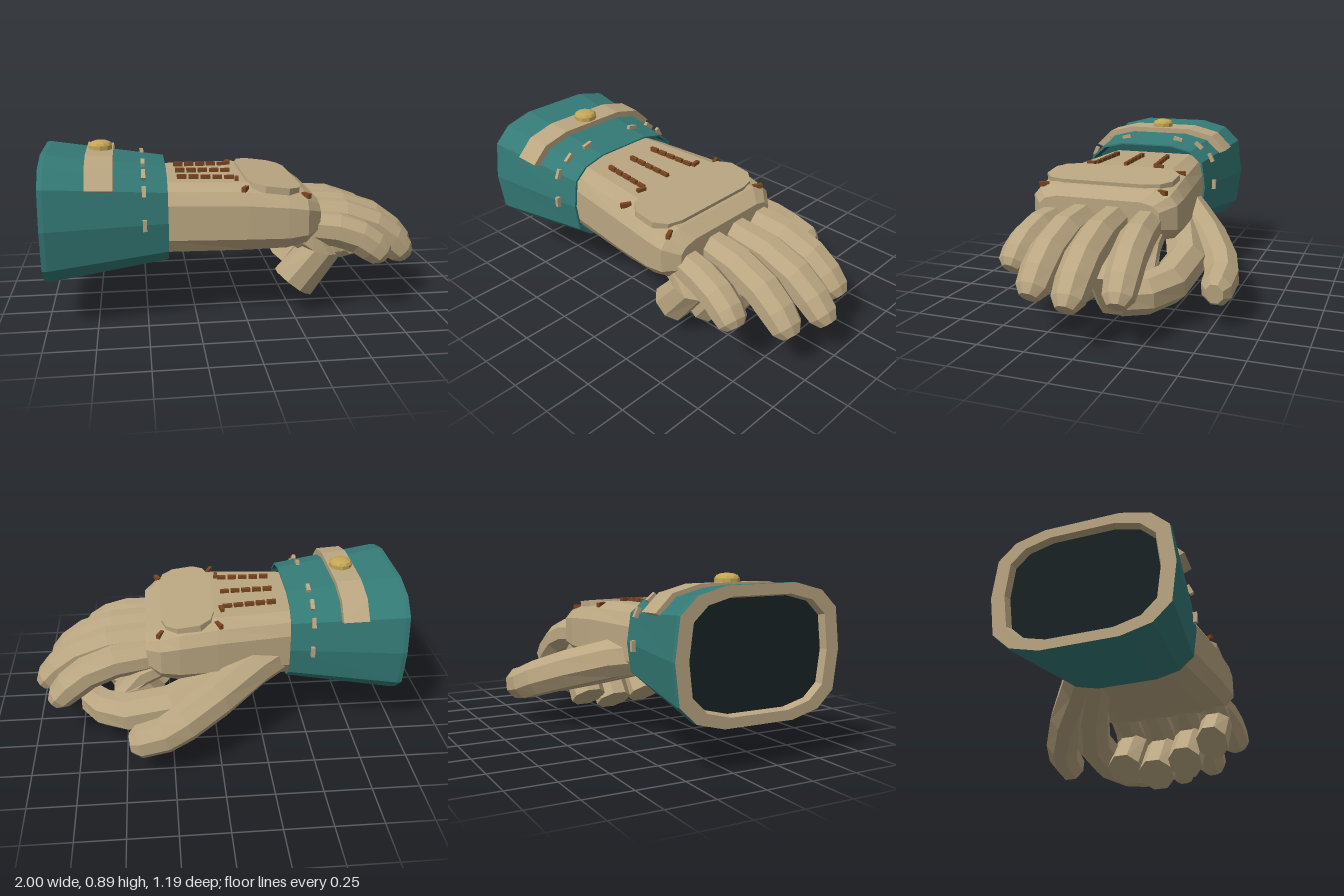
import * as THREE from 'three';

const paint = (name, color) => {
  const m = new THREE.MeshStandardMaterial({ color, flatShading: true });
  m.name = name;
  return m;
};

// Skin a list of equal-length rings of [x, y, z], with optional flat ends.
function loft(rings, startCap = true, endCap = true) {
  const pos = [];
  const n = rings[0].length;
  const tri = (a, b, c) => pos.push(...a, ...b, ...c);
  const centre = (r) => [0, 1, 2].map((k) => r.reduce((s, p) => s + p[k], 0) / n);
  const last = rings[rings.length - 1];
  for (let j = 0; j < n; j++) {
    const k = (j + 1) % n;
    for (let i = 0; i + 1 < rings.length; i++) {
      const p = rings[i], q = rings[i + 1];
      tri(p[j], p[k], q[k]);
      tri(p[j], q[k], q[j]);
    }
    if (startCap) tri(centre(rings[0]), rings[0][k], rings[0][j]);
    if (endCap) tri(centre(last), last[j], last[k]);
  }
  const g = new THREE.BufferGeometry();
  g.setAttribute('position', new THREE.Float32BufferAttribute(pos, 3));
  g.computeVertexNormals();
  return g;
}

// Eight-sided limb along stations of [x, y, z, halfWidth, halfHeight].
function limb(stations) {
  const pts = stations.map((s) => new THREE.Vector3(s[0], s[1], s[2]));
  return loft(stations.map((s, i) => {
    const t = pts[Math.min(i + 1, pts.length - 1)].clone().sub(pts[Math.max(i - 1, 0)]).normalize();
    const side = new THREE.Vector3(0, 0, 1).addScaledVector(t, -t.z).normalize();
    const up = side.clone().cross(t);
    return Array.from({ length: 8 }, (_, k) => {
      const a = ((k + 0.5) / 8) * Math.PI * 2;
      return pts[i].clone()
        .addScaledVector(up, Math.cos(a) * s[4] * 1.08)
        .addScaledVector(side, Math.sin(a) * s[3] * 1.08).toArray();
    });
  }));
}

// Mirror the +z half of a cross-section, listed from top to bottom.
const closed = (half) => [...half, ...half.slice().reverse().map(([z, y]) => [-z, y])];
const CUFF = closed([[0.42, 1], [0.75, 0.88], [0.945, 0.62], [1, 0], [0.945, -0.62], [0.75, -0.88], [0.42, -1]]);
const HAND = closed([[0.7, 1], [0.9, 0.82], [1, 0.47], [1, -0.5], [0.88, -0.88], [0.6, -1]]);

const MID_Z = 0.14;
const MID_Y = 0.53;
function cuffPoint(x, [z, y], s = 1) {
  const t = (x + 1) / 0.61;
  return [x, MID_Y + y * s * (0.323 - 0.083 * t), MID_Z + z * s * (0.452 - 0.082 * t)];
}
const cuffRing = (x, s) => CUFF.map((p) => cuffPoint(x, p, s));

export function createModel() {
  const root = new THREE.Group();
  root.name = 'gauntlet';
  const teal = paint('teal cloth', 0x347a76);
  const shade = paint('deep teal lining', 0x24595b);
  const tan = paint('tan leather', 0xbaa681);
  const brown = paint('brown thread', 0x7a4620);
  const gold = paint('gold metal', 0xc4a656);
  const dark = paint('dark lining', 0x182223);
  const add = (name, geometry, material, parent = root) => {
    const m = new THREE.Mesh(geometry, material);
    m.name = name;
    parent.add(m);
    return m;
  };
  const group = (name) => {
    const g = new THREE.Group();
    g.name = name;
    root.add(g);
    return g;
  };

  // Flared cuff, its rim and linings
  add('cuff', loft([cuffRing(-1, 0.995), cuffRing(-0.975, 1.008), cuffRing(-0.39, 1), cuffRing(-0.39, 0.97)], false, false), teal);
  add('frontLining', loft([cuffRing(-0.39, 0.97), cuffRing(-0.5, 0.92)], false, true), shade);
  add('cuffRim', loft([cuffRing(-0.96, 0.82), cuffRing(-1, 0.84), cuffRing(-1, 0.995)], false, false), tan);
  add('cuffLining', loft([cuffRing(-0.965, 0.84)], true, false), dark);

  // Strap over the top of the cuff
  const arc = [[0.945, 0.6], [0.75, 0.88], [0.42, 1], [-0.42, 1], [-0.75, 0.88], [-0.945, 0.6]];
  add('strap', loft(arc.map((p) => [
    cuffPoint(-0.785, p, 1.07), cuffPoint(-0.65, p, 1.11),
    cuffPoint(-0.65, p, 0.97), cuffPoint(-0.785, p, 0.97),
  ])), tan);

  // Button: low base and shallow dome
  const button = group('button');
  button.position.set(-0.715, 0.85, MID_Z);
  add('buttonBase', new THREE.CylinderGeometry(0.062, 0.062, 0.022, 10), gold, button);
  const dome = add('buttonDome', new THREE.SphereGeometry(0.062, 10, 3, 0, Math.PI * 2, 0, Math.PI / 2), gold, button);
  dome.scale.y = 0.4;
  dome.position.y = 0.011;

  // Stitches round the cuff
  const cuffStitches = group('cuffStitches');
  [[0.42, 1, 0.25], [0.75, 0.88, 0.7], [0.945, 0.62, 1.15], [1, 0, 1.57]].forEach(([z, y, tilt]) => {
    for (const side of [1, -1]) {
      const m = add('cuffStitch', new THREE.BoxGeometry(0.02, 0.022, 0.055), tan, cuffStitches);
      m.position.set(...cuffPoint(-0.505, [z * side, y], 1.025));
      m.rotation.x = tilt * side;
    }
  });

  // Hand body: x, bottom, top, min z, max z
  add('hand', loft([
    [-0.5, 0.34, 0.705, -0.2, 0.46], [-0.39, 0.34, 0.705, -0.215, 0.475],
    [0, 0.35, 0.7, -0.265, 0.525], [0.2, 0.36, 0.678, -0.28, 0.54],
    [0.3, 0.385, 0.65, -0.275, 0.535], [0.375, 0.42, 0.6, -0.2, 0.47],
  ].map(([x, y0, y1, z0, z1]) => HAND.map(([z, y]) =>
    [x, (y0 + y1) / 2 + y * (y1 - y0) / 2, (z0 + z1) / 2 + z * (z1 - z0) / 2]))), tan);

  // Knuckle pad
  const w = 0.14, l = 0.36;
  const outline = [[w - 0.08, l], [w - 0.02, l - 0.05], [w, l - 0.13]];
  const quarter = [...outline, ...outline.slice().reverse().map(([x, y]) => [x, -y])];
  const padShape = new THREE.Shape(
    [...quarter, ...quarter.slice().reverse().map(([x, y]) => [-x, y])].map((p) => new THREE.Vector2(...p)));
  const padGeometry = new THREE.ExtrudeGeometry(padShape, { depth: 0.035, bevelEnabled: false });
  const pad = add('knucklePad', padGeometry.rotateX(-Math.PI / 2), tan);
  pad.position.set(0.145, 0.657, MID_Z);
  pad.rotation.z = -0.13;

  // Four outer fingers: base z, tip z, tip x, tip y, start y, radius
  const fingers = group('fingers');
  [
    [-0.125, -0.175, 0.913, 0.265, 0.485, 0.084],
    [0.05, 0.045, 1.0, 0.255, 0.49, 0.088],
    [0.225, 0.262, 0.933, 0.265, 0.485, 0.09],
    [0.395, 0.46, 0.74, 0.315, 0.46, 0.084],
  ].forEach(([z0, z1, tipX, tipY, y0, r]) => {
    const L = tipX - 0.3;
    const at = (u, v, s, h = s) => [0.3 + L * u, y0 + (tipY - y0) * v, z0 + (z1 - z0) * u, r * s, r * h];
    add('finger', limb([
      at(0, 0, 0.9, 0.95), at(0.4, 0.12, 1), at(0.65, 0.38, 1), at(0.81, 0.72, 0.97),
      at(0.91, 1.0, 0.88, 0.8), at(0.96, 1.15, 0.52, 0.5),
    ]), tan, fingers);
  });

  // Curled inner fingers with flat ends: z, end x, end y, bend x, bend y, half width
  const curled = group('curledFingers');
  [
    [-0.13, 0.315, 0.1, 0.47, 0.31, 0.092],
    [0.05, 0.345, 0.058, 0.51, 0.28, 0.096],
    [0.235, 0.3, 0.092, 0.46, 0.3, 0.09],
    [0.41, 0.24, 0.167, 0.38, 0.34, 0.082],
  ].forEach(([z, ex, ey, bx, by, hw]) => {
    add('curledFinger', limb([
      [0.22, 0.46, z, hw * 0.8, 0.06], [bx - 0.07, by + 0.07, z, hw * 0.9, 0.07],
      [bx, by, z, hw, 0.095], [ex, ey, z, hw, 0.1],
    ]), tan, curled);
  });

  // Outer and inner thumbs
  add('thumb', limb([
    [-0.42, 0.47, -0.06, 0.09, 0.1], [-0.2, 0.42, -0.2, 0.1, 0.1], [0.02, 0.34, -0.37, 0.095, 0.1],
    [0.2, 0.27, -0.48, 0.09, 0.095], [0.3, 0.23, -0.515, 0.085, 0.09],
    [0.43, 0.2, -0.52, 0.077, 0.085], [0.475, 0.195, -0.52, 0.045, 0.05],
  ]), tan);
  add('innerThumb', limb([
    [-0.3, 0.44, -0.06, 0.09, 0.09], [0, 0.35, -0.22, 0.1, 0.1], [0.25, 0.275, -0.31, 0.1, 0.1],
    [0.47, 0.22, -0.285, 0.097, 0.1], [0.6, 0.2, -0.205, 0.09, 0.095],
    [0.675, 0.198, -0.11, 0.08, 0.085], [0.7, 0.2, -0.045, 0.05, 0.05],
  ]), tan);

  // Thread stitches on the back of the hand
  const stitches = group('handStitches');
  const stitch = (x, y, z, turn, length) => {
    const m = add('stitch', new THREE.BoxGeometry(length, 0.024, 0.02), brown, stitches);
    m.position.set(x, y, z);
    m.rotation.y = turn;
  };
  for (const row of [-1, 0, 1]) {
    for (let i = 0; i < 5; i++) {
      const z = MID_Z + row * (0.158 + i * 0.004);
      stitch(-0.31 + i * 0.06, 0.715 - i * 0.002, z, -row * 0.08, 0.049);
    }
    if (row) {
      stitch(-0.036, 0.706, MID_Z + row * 0.203, 1.4 * row, 0.05);
      stitch(-0.01, 0.683, MID_Z + row * 0.335, row * 1.1, 0.055);
      stitch(0.298, 0.641, MID_Z + row * 0.335, -row * 1.1, 0.055);
    }
  }
  return root;
}
